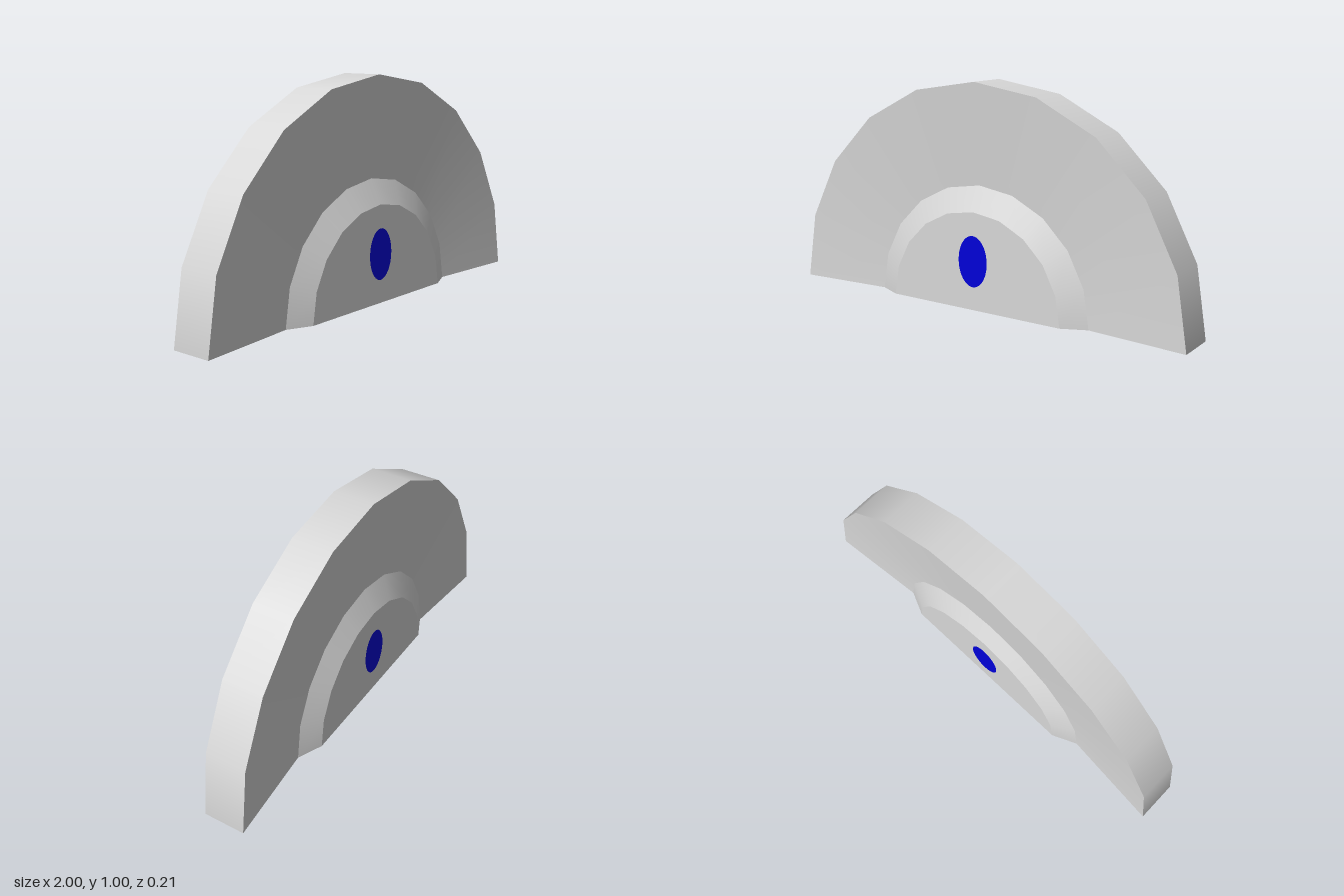
import * as THREE from 'three';

// Half-disc cross-section as (radius, z), running from back centre to front centre
const PROFILE = [
  [0, -0.105], [0.44, -0.105], [0.55, -0.055], [1, -0.095],
  [1, 0.095], [0.55, 0.055], [0.44, 0.105], [0, 0.105],
].map(([r, z]) => new THREE.Vector2(r, z));

const BAND_NAMES = ['backHub', 'backHubBevel', 'backFace', 'rim', 'frontFace', 'frontHubBevel', 'frontHub'];

export function createModel() {
  const model = new THREE.Group();
  const grey = new THREE.MeshStandardMaterial({ color: 0xd8d8d8 });
  grey.name = 'lightGrey';
  const blue = new THREE.MeshStandardMaterial({ color: 0x0000d8 });
  blue.name = 'blue';

  const add = (name, geometry, material) => {
    const mesh = new THREE.Mesh(geometry, material);
    mesh.name = name;
    model.add(mesh);
    return mesh;
  };

  // Each band is smooth around the arc, with sharp edges between bands
  BAND_NAMES.forEach((name, i) => {
    const band = new THREE.LatheGeometry([PROFILE[i], PROFILE[i + 1]], 10, Math.PI / 2, Math.PI);
    band.rotateX(Math.PI / 2);
    add(name, band, grey);
  });

  // Flat underside follows the cross-section on both sides of the centre
  const outline = [
    ...PROFILE.slice(),
    ...PROFILE.slice(1, -1).reverse().map((p) => new THREE.Vector2(-p.x, p.y)),
  ];
  const underside = new THREE.ShapeGeometry(new THREE.Shape(outline));
  underside.rotateX(Math.PI / 2);
  add('underside', underside, grey);

  // Oval spot on the front and back of the hub
  for (const side of [1, -1]) {
    const oval = new THREE.CircleGeometry(1, 40);
    oval.scale(0.075, 0.115, 1);
    if (side < 0) oval.rotateY(Math.PI);
    const spot = add(side > 0 ? 'frontSpot' : 'backSpot', oval, blue);
    spot.position.set(0, 0.22, side * 0.107);
  }

  return model;
}
